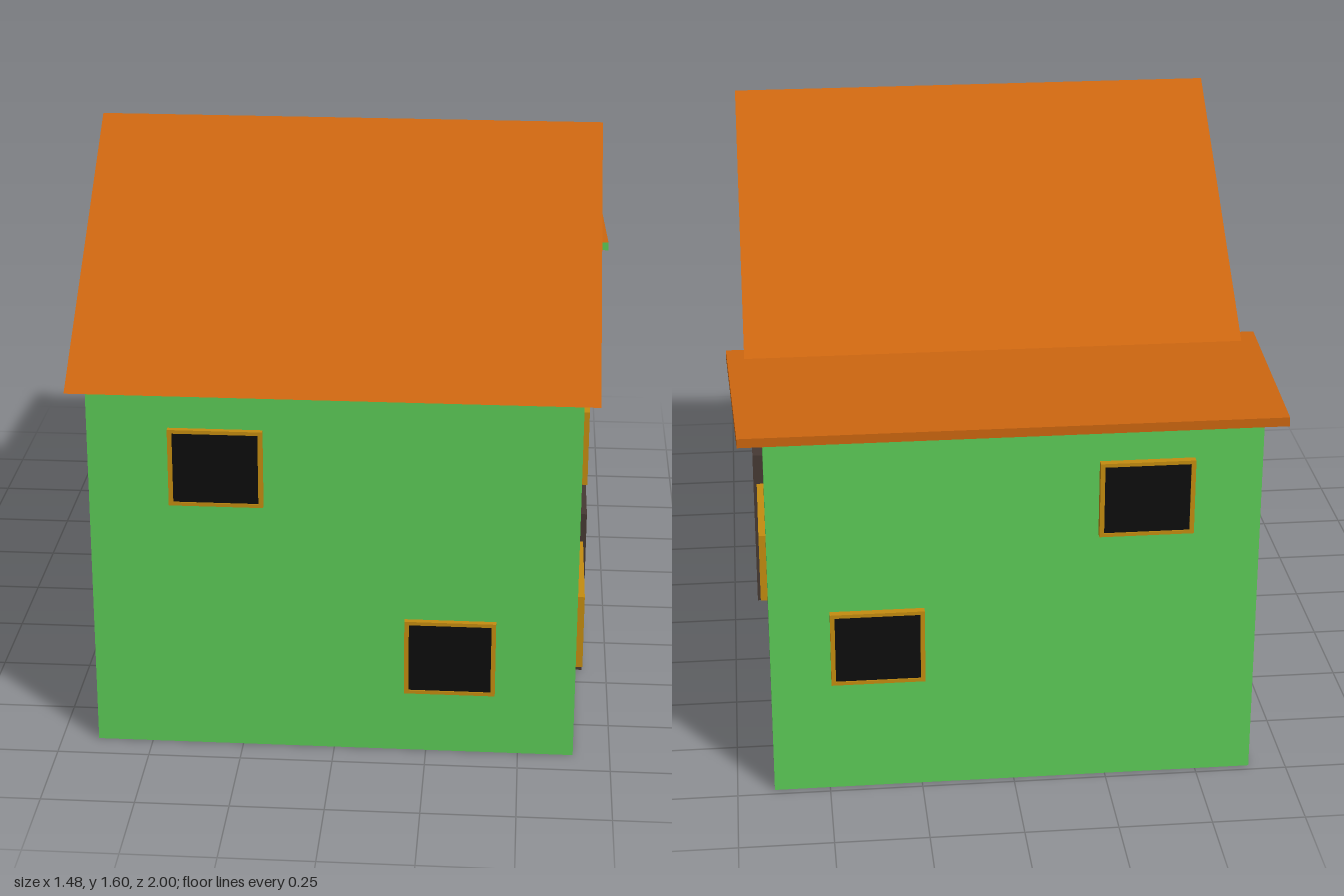
import * as THREE from 'three';

const paint = (name, color) => {
  const m = new THREE.MeshStandardMaterial({ color });
  m.name = name;
  return m;
};

export function createModel() {
  const green = paint('wall green', 0x5ccb57);
  const orange = paint('roof orange', 0xcc6610);
  const gold = paint('window frame gold', 0xc48c10);
  const black = paint('glass black', 0x0d0d0d);
  const brown = paint('door brown', 0x85553d);
  const dark = paint('door frame dark', 0x463933);

  const house = new THREE.Group();
  house.name = 'house';

  const add = (parent, name, geometry, material) => {
    const mesh = new THREE.Mesh(geometry, material);
    mesh.name = name;
    parent.add(mesh);
    return mesh;
  };

  // Side profile given as [z, y] points, extruded across the width
  const acrossWidth = (points, halfWidth) => {
    const shape = new THREE.Shape(points.map(([z, y]) => new THREE.Vector2(-z, y)));
    return new THREE.ExtrudeGeometry(shape, { depth: halfWidth * 2, bevelEnabled: false })
      .translate(0, 0, -halfWidth)
      .rotateY(Math.PI / 2);
  };

  // Walls with the gable
  add(house, 'walls', acrossWidth([
    [0.92, 0], [0.92, 1.05], [0.27, 1.54], [-0.38, 1.05], [-0.38, 1.03], [-0.98, 1.03], [-0.98, 0],
  ], 0.65), green);

  // Pitched roof
  add(house, 'gableRoof', acrossWidth([
    [1, 1.05], [0.27, 1.6], [-0.46, 1.05], [-0.38, 1.05], [0.27, 1.54], [0.92, 1.05],
  ], 0.69), orange);

  // Flat roof over the rear, narrowing towards the back, green below and in front
  const slab = new THREE.BoxGeometry(2, 0.025, 0.605).translate(0, 1.0325, -0.6825);
  const p = slab.attributes.position;
  for (let i = 0; i < p.count; i++) {
    p.setX(i, p.getX(i) * (p.getZ(i) > -0.6 ? 0.74 : 0.715));
  }
  slab.computeVertexNormals();
  add(house, 'rearRoof', slab, [orange, orange, orange, green, green, orange]);

  // Rectangular frame with an opening; bottom = 0 leaves the foot open
  const frameGeometry = (w, h, side, top, bottom, depth) => {
    const rect = (Type, x0, y0, x1, y1) => new Type([
      new THREE.Vector2(x0, y0), new THREE.Vector2(x1, y0),
      new THREE.Vector2(x1, y1), new THREE.Vector2(x0, y1),
    ]);
    let shape;
    if (bottom > 0) {
      shape = rect(THREE.Shape, 0, 0, w, h);
      shape.holes.push(rect(THREE.Path, side, bottom, w - side, h - top));
    } else {
      shape = new THREE.Shape([
        [0, 0], [side, 0], [side, h - top], [w - side, h - top],
        [w - side, 0], [w, 0], [w, h], [0, h],
      ].map(([x, y]) => new THREE.Vector2(x, y)));
    }
    return new THREE.ExtrudeGeometry(shape, { depth, bevelEnabled: false });
  };

  // A group whose local +z points out of a wall
  const wall = (name, x, z, turn) => {
    const g = new THREE.Group();
    g.name = name;
    g.position.set(x, 0, z);
    g.rotation.y = turn;
    house.add(g);
    return g;
  };

  const addWindow = (parent, depth, [x0, x1, y0, y1]) => {
    const g = new THREE.Group();
    g.name = 'window';
    g.position.set(x0, y0, 0);
    const w = x1 - x0, h = y1 - y0;
    add(g, 'windowFrame', frameGeometry(w, h, 0.012, 0.01, 0.01, depth), gold);
    add(g, 'windowPane', new THREE.BoxGeometry(w - 0.02, h - 0.016, 0.006), black)
      .position.set(w / 2, h / 2, depth - 0.006);
    parent.add(g);
  };

  // Windows per wall: [left, right, bottom, top] as seen facing that wall
  const front = wall('frontOpenings', 0, 0.92, 0);
  const right = wall('doorSideOpenings', 0.65, 0, Math.PI / 2);
  const left = wall('plainSideOpenings', -0.65, 0, -Math.PI / 2);
  const back = wall('backOpenings', 0, -0.98, Math.PI);

  [[-0.435, -0.185, 0.715, 0.93], [0.19, 0.435, 0.18, 0.395]]
    .forEach((r) => addWindow(front, 0.016, r));
  [[-0.71, -0.46, 0.71, 0.92], [-0.035, 0.21, 0.84, 1.045],
    [-0.845, -0.49, 0.23, 0.44], [-0.035, 0.32, 0.23, 0.44]]
    .forEach((r) => addWindow(right, 0.02, r));
  [[0.48, 0.73, 0.855, 1.05], [0.56, 0.81, 0.32, 0.535], [-0.23, 0.02, 0.32, 0.535]]
    .forEach((r) => addWindow(left, 0.02, r));
  [[0.22, 0.47, 0.73, 0.94], [-0.49, -0.24, 0.325, 0.535]]
    .forEach((r) => addWindow(back, 0.02, r));

  // Door in its frame
  const door = new THREE.Group();
  door.name = 'door';
  door.position.x = -0.425;
  add(door, 'doorFrame', frameGeometry(0.305, 0.495, 0.013, 0.02, 0, 0.03), dark);
  add(door, 'doorPanel', new THREE.BoxGeometry(0.279, 0.475, 0.022), brown)
    .position.set(0.1525, 0.2375, 0.012);
  right.add(door);

  return house;
}
